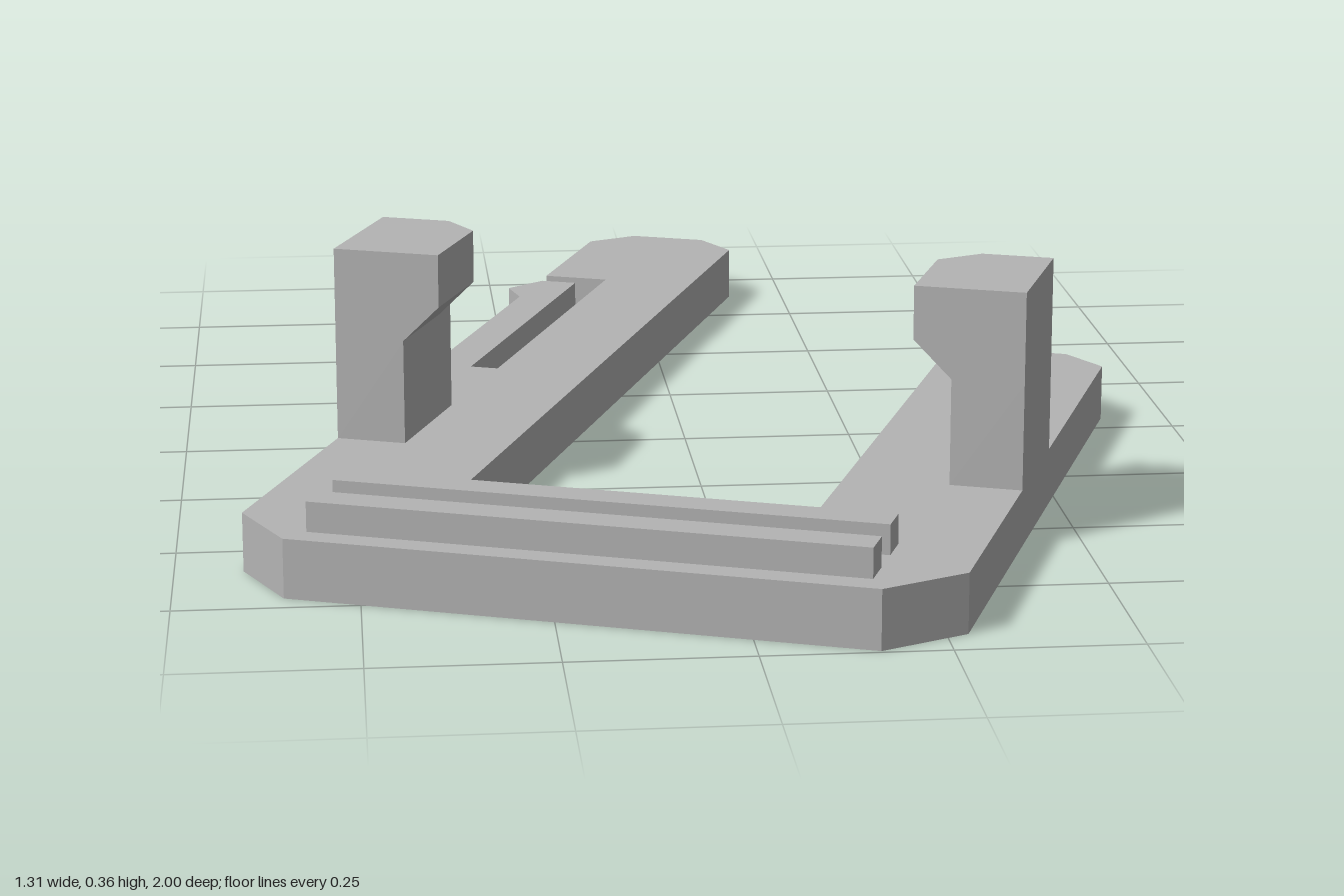
import * as THREE from 'three';

const grey = new THREE.MeshStandardMaterial({ color: 0xb4b4b4 });
grey.name = 'grey plastic';

// Closed, flat-faced solid through stacked outlines.
// Each ring is { y, pts: [[x, forward], ...] }, counter-clockwise from above.
function loft(name, rings) {
  const pos = [];
  const put = (ring, i) => {
    const p = ring.pts[i % ring.pts.length];
    pos.push(p[0], ring.y, -p[1]);
  };
  for (let r = 0; r < rings.length - 1; r++) {
    const lo = rings[r], hi = rings[r + 1];
    for (let i = 0; i < lo.pts.length; i++) {
      put(lo, i); put(lo, i + 1); put(hi, i + 1);
      put(lo, i); put(hi, i + 1); put(hi, i);
    }
  }
  const cap = (ring, flip) => {
    const contour = ring.pts.map(p => new THREE.Vector2(p[0], p[1]));
    for (const [a, b, c] of THREE.ShapeUtils.triangulateShape(contour, [])) {
      for (const i of flip ? [a, c, b] : [a, b, c]) put(ring, i);
    }
  };
  cap(rings[0], true);
  cap(rings[rings.length - 1], false);
  const geo = new THREE.BufferGeometry();
  geo.setAttribute('position', new THREE.Float32BufferAttribute(pos, 3));
  geo.computeVertexNormals();
  const mesh = new THREE.Mesh(geo, grey);
  mesh.name = name;
  return mesh;
}

export function createModel() {
  const model = new THREE.Group();
  model.name = 'clipFrame';
  const body = new THREE.Group();
  body.name = 'body';
  body.rotation.y = THREE.MathUtils.degToRad(-20.5);
  body.position.set(0.085, 0, 0.032);
  model.add(body);

  const top = 0.083;

  // U-shaped plate: short arm, long arm, then the slot and spring finger
  const outline = [
    [-0.499, -0.782], [-0.405, -0.877], [0.405, -0.877], [0.499, -0.782],
    [0.499, 0.277], [0.433, 0.336], [0.31, 0.336], [0.249, 0.277],
    [0.249, -0.62], [-0.249, -0.62],
    [-0.249, 0.88], [-0.315, 0.941], [-0.437, 0.941], [-0.499, 0.88],
    [-0.499, 0.617], [-0.395, 0.617], [-0.395, 0.023], [-0.438, 0.023],
    [-0.438, 0.582], [-0.495, 0.582], [-0.534, 0.518], [-0.499, 0.467],
  ];
  // The arm tips are bevelled underneath
  const tips = [0.336, 0.941];
  const underside = outline.map(([x, v]) => [x, tips.includes(v) ? v - 0.057 : v]);
  body.add(loft('plate', [
    { y: 0, pts: underside },
    { y: 0.037, pts: outline },
    { y: top, pts: outline },
  ]));

  // Hooked posts facing each other, with a sloped underside and cut corner
  for (const side of [1, -1]) {
    const ring = (y, reach) => {
      const pts = [
        [0.499, -0.405], [0.499, -0.194], [0.397, -0.194],
        [reach, -0.245], [reach, -0.405],
      ].map(([x, v]) => [x * side, v]);
      return { y, pts: side < 0 ? pts.reverse() : pts };
    };
    body.add(loft(side > 0 ? 'leftHook' : 'rightHook', [
      ring(top, 0.397), ring(0.234, 0.397), ring(0.287, 0.343), ring(0.363, 0.343),
    ]));
  }

  // Grip ribs on the cross bar
  for (const v of [-0.712, -0.815]) {
    const rib = new THREE.Mesh(new THREE.BoxGeometry(0.77, 0.043, 0.05), grey);
    rib.name = 'gripRib';
    rib.position.set(0, top + 0.0205, -v);
    body.add(rib);
  }

  return model;
}
